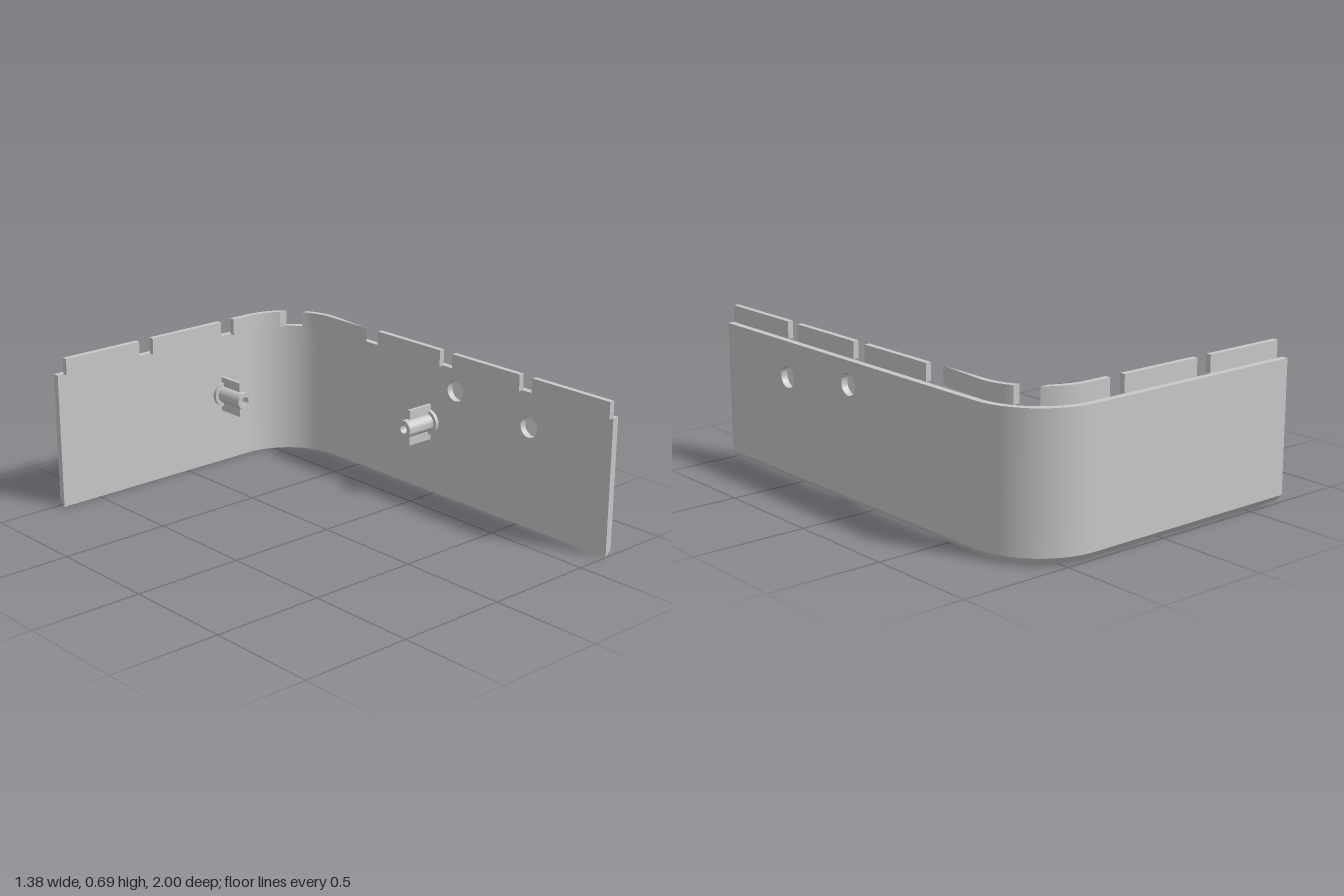
import * as THREE from 'three';
import { toCreasedNormals } from 'three/addons/utils/BufferGeometryUtils.js';

const OUT = 0.685, BACK = -1, R = 0.32, T = 0.03, TOOTH = 0.025;
const TOP = 0.61, TOOTH_TOP = 0.685, BEVEL = 0.03;
const CX = OUT - R, CZ = BACK + R;

// Stations round the corner: outer point (x, z) and inward direction (nx, nz)
function cornerStations() {
  const list = [];
  for (let i = 0; i <= 24; i++) {
    const a = (i / 24) * Math.PI / 2, c = Math.cos(a), s = Math.sin(a);
    list.push({ x: CX + R * c, z: CZ - R * s, nx: -c, nz: s });
  }
  return list;
}

// Sweep a convex profile of [inset, height] points along the stations
function sweep(profile, stations) {
  const pos = [];
  const at = (s, [d, y]) => [s.x + s.nx * d, y, s.z + s.nz * d];
  const tri = (a, b, c) => pos.push(...a, ...b, ...c);
  const n = profile.length;
  for (let i = 0; i < stations.length - 1; i++) {
    for (let j = 0; j < n; j++) {
      const p = profile[j], q = profile[(j + 1) % n];
      const p0 = at(stations[i], p), p1 = at(stations[i + 1], p);
      const q0 = at(stations[i], q), q1 = at(stations[i + 1], q);
      tri(p0, p1, q1);
      tri(p0, q1, q0);
    }
  }
  const first = profile.map(p => at(stations[0], p));
  const last = profile.map(p => at(stations[stations.length - 1], p));
  for (let j = 1; j < n - 1; j++) {
    tri(first[0], first[j], first[j + 1]);
    tri(last[0], last[j + 1], last[j]);
  }
  const g = new THREE.BufferGeometry();
  g.setAttribute('position', new THREE.Float32BufferAttribute(pos, 3));
  return toCreasedNormals(g, 0.5);
}

export function createModel() {
  const group = new THREE.Group();
  const grey = new THREE.MeshStandardMaterial({ color: 0xc8c8c8 });
  grey.name = 'light grey';
  const add = (name, geometry, parent = group) => {
    const m = new THREE.Mesh(geometry, grey);
    m.name = name;
    parent.add(m);
    return m;
  };

  // Side wall with two round holes, drawn in (-z, y)
  const side = new THREE.Shape();
  side.moveTo(-1, BEVEL);
  side.lineTo(-CZ, BEVEL);
  side.lineTo(-CZ, TOP);
  side.lineTo(-1, TOP);
  for (const [z, y] of [[0.55, 0.455], [0.115, 0.51]]) {
    const hole = new THREE.Path();
    hole.absarc(-z, y, 0.047, 0, Math.PI * 2, true);
    side.holes.push(hole);
  }
  const sideGeo = new THREE.ExtrudeGeometry(side, { depth: T, bevelEnabled: false, curveSegments: 32 });
  sideGeo.rotateY(Math.PI / 2).translate(OUT - T, 0, 0);
  add('sideWall', toCreasedNormals(sideGeo, 0.5));

  // Rounded corner and back wall
  const corner = cornerStations();
  const backEnd = { x: -0.69, z: BACK, nx: 0, nz: 1 };
  add('cornerAndBackWall', sweep(
    [[0, BEVEL], [0, TOP], [T, TOP], [T, BEVEL]], [...corner, backEnd]));

  // Slanted lower edge along the whole wall
  const sideEnd = { x: OUT, z: 1, nx: -1, nz: 0 };
  add('bevelledLowerEdge', sweep(
    [[0, BEVEL], [T, BEVEL], [T, 0]], [sideEnd, ...corner, backEnd]));

  // Straight teeth on the inner rim
  const h = TOOTH_TOP - TOP, midY = (TOP + TOOTH_TOP) / 2, inset = T + TOOTH / 2;
  for (const [a, b] of [[0.58, 1], [0.115, 0.51], [-0.355, 0.04]]) {
    add('sideTooth', new THREE.BoxGeometry(TOOTH, h, b - a))
      .position.set(OUT - inset, midY, (a + b) / 2);
  }
  for (const [a, b] of [[-0.66, -0.27], [-0.195, 0.195]]) {
    add('backTooth', new THREE.BoxGeometry(b - a, h, TOOTH))
      .position.set((a + b) / 2, midY, BACK + inset);
  }

  // Teeth that run into the corner, drawn in (x, -z)
  const ro = R - T, ri = ro - TOOTH, cy = -CZ;
  const cut = (depth, r) => Math.asin(depth / r);
  const sideCurve = new THREE.Shape();
  sideCurve.moveTo(CX + ro, 0.43);
  sideCurve.absarc(CX, cy, ro, 0, cut(0.143, ro), false);
  sideCurve.absarc(CX, cy, ri, cut(0.143, ri), 0, true);
  sideCurve.lineTo(CX + ri, 0.43);
  const backCurve = new THREE.Shape();
  backCurve.absarc(CX, cy, ro, cut(0.22, ro), Math.PI / 2, false);
  backCurve.lineTo(0.27, cy + ro);
  backCurve.lineTo(0.27, cy + ri);
  backCurve.absarc(CX, cy, ri, Math.PI / 2, cut(0.22, ri), true);
  for (const [name, shape] of [['sideCornerTooth', sideCurve], ['backCornerTooth', backCurve]]) {
    const g = new THREE.ExtrudeGeometry(shape, { depth: h, bevelEnabled: false, curveSegments: 16 });
    g.rotateX(-Math.PI / 2).translate(0, TOP, 0);
    add(name, toCreasedNormals(g, 0.5));
  }

  // Hollow pin with flange and two fins, pointing along +z from the wall
  const profile = [[0.057, 0], [0.057, 0.016], [0.04, 0.016], [0.04, 0.162],
    [0.02, 0.162], [0.02, 0.01], [0, 0.01]].map(([r, y]) => new THREE.Vector2(r, y));
  const pinGeo = toCreasedNormals(new THREE.LatheGeometry(profile, 32).rotateX(Math.PI / 2), 0.5);
  function pin(name, x, z, turn) {
    const p = new THREE.Group();
    p.name = name;
    add('hollowPin', pinGeo, p);
    for (const s of [-1, 1]) {
      add('fin', new THREE.BoxGeometry(0.016, 0.046, 0.132), p).position.set(0, s * 0.059, 0.066);
    }
    p.position.set(x, 0.33, z);
    p.rotation.y = turn;
    group.add(p);
  }
  pin('backPin', 0.22, BACK + T, 0);
  pin('sidePin', OUT - T, -0.04, -Math.PI / 2);

  return group;
}
